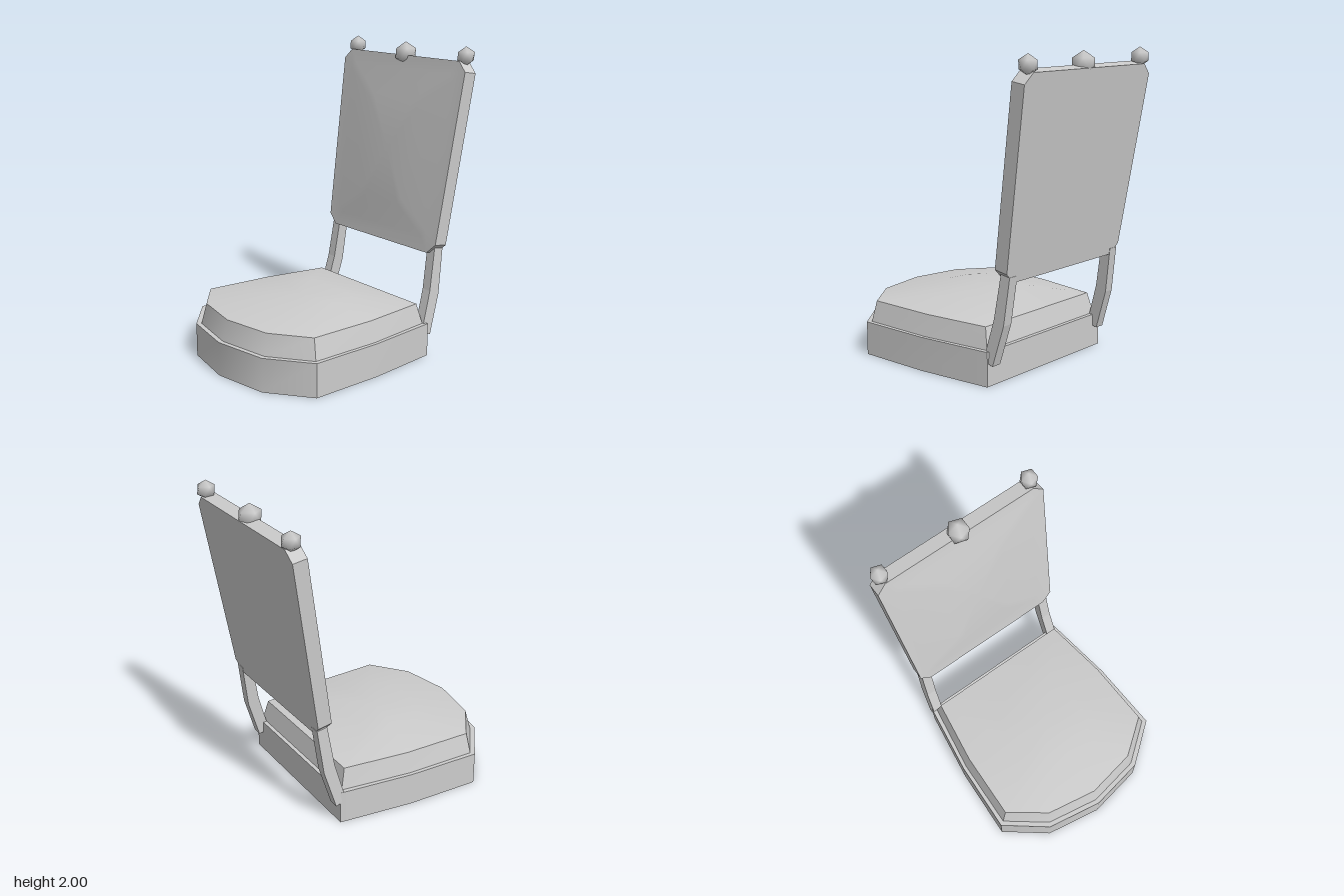
import * as THREE from 'three';
import { mergeVertices, toCreasedNormals } from 'three/addons/utils/BufferGeometryUtils.js';

// Mirror a right-hand half outline [x, y] (bottom to top) into a closed counter-clockwise ring
function mirrorRing(half) {
  const left = half.filter(([x]) => x > 0).reverse().map(([x, y]) => [-x, y]);
  return [...half, ...left];
}

// Join rings of equal length along +z and cap both ends; layers are { half, z }
function loft(layers) {
  const rings = layers.map((l) => mirrorRing(l.half).map(([x, y]) => [x, y, l.z]));
  const n = rings[0].length;
  const pos = rings.flat(2);
  const index = [];
  for (let k = 0; k < rings.length - 1; k++) {
    for (let i = 0; i < n; i++) {
      const a = k * n + i, b = k * n + (i + 1) % n;
      index.push(a, b, b + n, a, b + n, a + n);
    }
  }
  // end caps as fans around the ring centre
  [0, rings.length - 1].forEach((k) => {
    const ys = rings[k].map((p) => p[1]);
    const centre = pos.length / 3;
    pos.push(0, (Math.min(...ys) + Math.max(...ys)) / 2, layers[k].z);
    for (let i = 0; i < n; i++) {
      const a = k * n + i, b = k * n + (i + 1) % n;
      if (k === 0) index.push(centre, b, a);
      else index.push(centre, a, b);
    }
  });
  const geo = new THREE.BufferGeometry();
  geo.setAttribute('position', new THREE.Float32BufferAttribute(pos, 3));
  geo.setIndex(index);
  return toCreasedNormals(geo, 0.5);
}

// Horizontal loft: halves are [x, z] from front to back, stacked upwards in y
function loftUp(layers) {
  const flipped = layers.map(({ half, y }) => ({ half: half.map(([x, z]) => [x, -z]), z: y }));
  return loft(flipped).rotateX(-Math.PI / 2);
}

export function createModel() {
  const model = new THREE.Group();
  model.name = 'chair';
  const grey = new THREE.MeshStandardMaterial({ color: 0xcccccc });
  grey.name = 'light grey';

  const add = (name, geo, parent = model) => {
    const mesh = new THREE.Mesh(geo, grey);
    mesh.name = name;
    parent.add(mesh);
    return mesh;
  };

  // Seat base
  const base = [[0, 0.805], [0.375, 0.74], [0.643, 0.53], [0.62, 0.04], [0.55, -0.455]];
  add('seatBase', loftUp([{ half: base, y: 0 }, { half: base, y: 0.22 }]));

  // Seat cushion with bevelled sides and a gently domed top
  const foot = [[0, 0.775], [0.36, 0.712], [0.615, 0.515], [0.597, 0.04], [0.525, -0.43]];
  const rim = [[0, 0.74], [0.34, 0.68], [0.58, 0.5], [0.563, 0.045], [0.5, -0.395]];
  const crown = rim.map(([x, z]) => [x * 0.47, 0.16 + (z - 0.16) * 0.45]);
  add('seatCushion', loftUp([
    { half: foot, y: 0.215 },
    { half: rim, y: 0.355 },
    { half: crown, y: 0.405 },
  ]));

  // Leaning backrest: chamfered slab with a raised pad on its front
  const backrest = new THREE.Group();
  backrest.name = 'backrest';
  backrest.position.set(-0.002, 0.675, -0.5);
  backrest.rotation.x = -0.152;
  model.add(backrest);
  const slab = [[0.475, 0], [0.545, 0.065], [0.595, 1.185], [0.53, 1.25]];
  const padEdge = [[0.4, 0.1], [0.44, 0.14], [0.5, 1.12], [0.46, 1.16]];
  const padTop = [[0.17, 0.27], [0.2, 0.31], [0.24, 0.93], [0.2, 0.97]];
  add('backPanel', loft([
    { half: slab, z: -0.095 },
    { half: slab, z: 0 },
    { half: padEdge, z: 0.003 },
    { half: padTop, z: 0.031 },
  ]), backrest);

  // Bent posts joining the seat to the backrest, leaning slightly inwards
  const profile = [[-0.45, 0.145], [-0.487, 0.135], [-0.565, 0.4], [-0.602, 0.7],
    [-0.532, 0.71], [-0.488, 0.43], [-0.43, 0.22]];
  const postShape = new THREE.Shape(profile.map(([z, y]) => new THREE.Vector2(z, y)));
  for (const side of [-1, 1]) {
    const geo = new THREE.ExtrudeGeometry(postShape, { depth: 0.068, bevelEnabled: false });
    geo.rotateY(-Math.PI / 2).translate(0.034, 0, 0);
    const p = geo.attributes.position;
    for (let i = 0; i < p.count; i++) {
      p.setX(i, p.getX(i) + side * (0.517 - 0.04 * p.getY(i)) - 0.007);
    }
    geo.computeVertexNormals();
    add(side > 0 ? 'leftPost' : 'rightPost', geo);
  }

  // Faceted knobs along the top, with smooth normals
  const knob = (name, r, x, y, z) => {
    let geo = new THREE.IcosahedronGeometry(r, 0);
    geo.deleteAttribute('normal');
    geo.deleteAttribute('uv');
    geo = mergeVertices(geo);
    geo.rotateZ(0.553);
    geo.computeVertexNormals();
    add(name, geo).position.set(x, y, z);
  };
  knob('leftKnob', 0.062, 0.532, 1.938, -0.745);
  knob('rightKnob', 0.062, -0.534, 1.938, -0.745);
  knob('centreKnob', 0.078, 0, 1.919, -0.717);

  return model;
}
